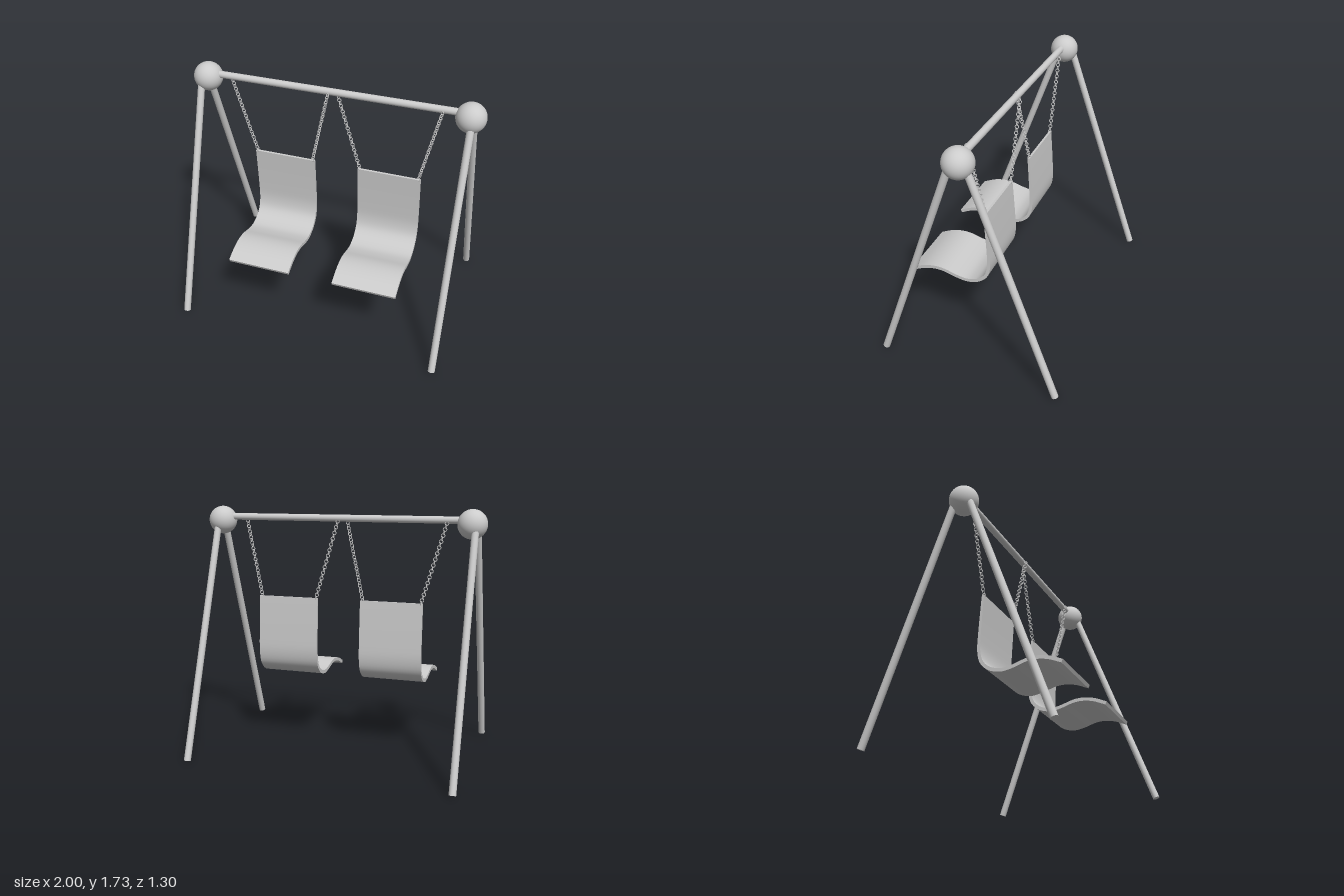
import * as THREE from 'three';
import { toCreasedNormals } from 'three/addons/utils/BufferGeometryUtils.js';

const grey = new THREE.MeshStandardMaterial({ color: 0xcccccc });
const UP = new THREE.Vector3(0, 1, 0);
const V = (x, y, z) => new THREE.Vector3(x, y, z);

function addMesh(parent, name, geometry) {
  const mesh = new THREE.Mesh(geometry, grey);
  mesh.name = name;
  parent.add(mesh);
  return mesh;
}

// Round bar between two points
function addBar(parent, name, a, b, radius) {
  const dir = b.clone().sub(a);
  const bar = addMesh(parent, name, new THREE.CylinderGeometry(radius, radius, dir.length(), 24));
  bar.position.copy(a).add(b).multiplyScalar(0.5);
  bar.quaternion.setFromUnitVectors(UP, dir.normalize());
}

// Chain of rings, every second one turned a quarter
const linkGeometry = new THREE.TorusGeometry(0.0125, 0.003, 6, 14);
function addChain(parent, name, a, b) {
  const chain = new THREE.Group();
  chain.name = name;
  const dir = b.clone().sub(a);
  const count = Math.round(dir.length() / 0.0205);
  const align = new THREE.Quaternion().setFromUnitVectors(UP, dir.clone().normalize());
  for (let i = 0; i <= count; i++) {
    const link = addMesh(chain, 'chainLink', linkGeometry);
    link.position.lerpVectors(a, b, i / count);
    link.quaternion.setFromAxisAngle(UP, (i % 2) * Math.PI / 2).premultiply(align);
  }
  parent.add(chain);
}

// Curved sheet: a side profile thickened on both sides and extruded across the width
function seatGeometry(width) {
  const path = new THREE.SplineCurve([
    [-0.016, 1.09], [-0.024, 0.98], [-0.035, 0.8], [-0.037, 0.69], [-0.018, 0.607],
    [0.03, 0.554], [0.085, 0.529], [0.14, 0.521], [0.21, 0.532], [0.295, 0.555],
    [0.37, 0.558], [0.45, 0.54], [0.535, 0.501],
  ].map(([z, y]) => new THREE.Vector2(z, y)));
  const upper = [], lower = [];
  const steps = 40;
  for (let i = 0; i <= steps; i++) {
    const t = i / steps;
    const p = path.getPoint(t), d = path.getTangent(t);
    const h = 0.008 + 0.004 * Math.min(1, t * 3);
    upper.push(new THREE.Vector2(p.x - d.y * h, p.y + d.x * h));
    lower.unshift(new THREE.Vector2(p.x + d.y * h, p.y - d.x * h));
  }
  const shape = new THREE.Shape([...upper, ...lower]);
  const geo = new THREE.ExtrudeGeometry(shape, { depth: width, bevelEnabled: false });
  geo.translate(0, 0, -width / 2);
  geo.rotateY(-Math.PI / 2); // profile x becomes z
  return toCreasedNormals(geo, 0.6);
}

export function createModel() {
  const model = new THREE.Group();
  model.name = 'swingSet';

  // Frame: top beam, ball joints and splayed legs
  addBar(model, 'topBeam', V(-0.9, 1.652, 0), V(0.9, 1.652, 0), 0.024);
  for (const side of [-1, 1]) {
    const ball = addMesh(model, 'ballJoint', new THREE.SphereGeometry(0.099, 40, 28));
    ball.position.set(side * 0.9, 1.627, 0);
    for (const end of [-1, 1]) {
      const x = side * 0.92 - 0.008;
      addBar(model, 'leg', V(x, 1.61, end * 0.051), V(x, 0.009, end * 0.626), 0.024);
    }
  }

  // Two swings, each a curved seat on a pair of chains
  const seat = seatGeometry(0.442);
  for (const x of [-0.365, 0.391]) {
    const swing = new THREE.Group();
    swing.name = 'swing';
    swing.position.x = x;
    addMesh(swing, 'seat', seat);
    addChain(swing, 'rightChain', V(-0.37, 1.63, -0.018), V(-0.208, 1.092, -0.017));
    addChain(swing, 'leftChain', V(0.333, 1.64, 0.03), V(0.205, 1.092, -0.015));
    model.add(swing);
  }
  return model;
}
